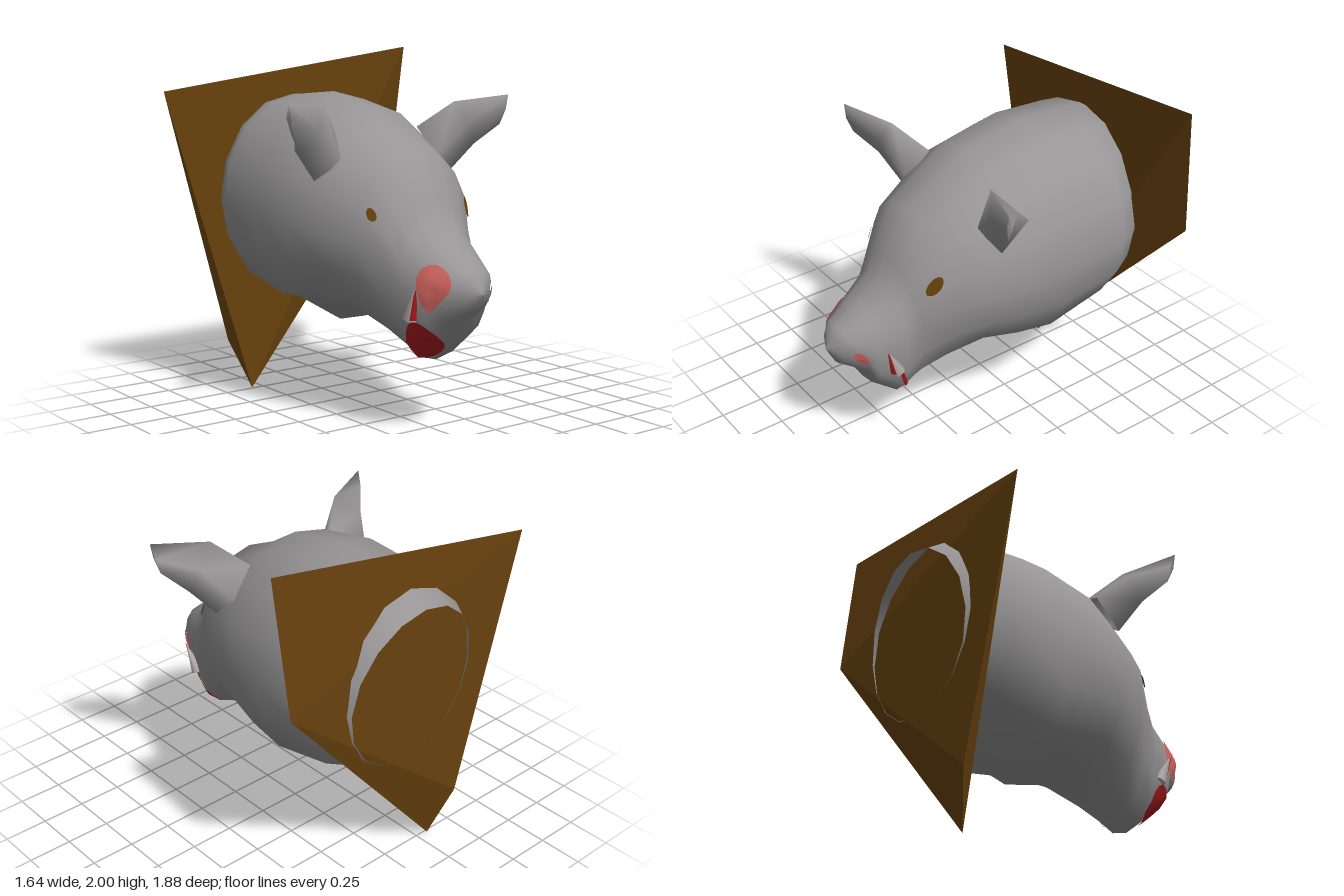
import * as THREE from 'three';
import { ConvexGeometry } from 'three/addons/geometries/ConvexGeometry.js';

const SIDES = 16;

// Head sections, neck to nose: top z,y | bottom z,y | half width, height of widest point | top and bottom roundness
const SECTIONS = [
  [-0.94, 1.61, -0.85, 0.68, 0.42, 1.13, 1, 1],
  [-0.76, 1.73, -0.77, 0.64, 0.49, 1.14, 1, 1],
  [-0.66, 1.735, -0.65, 0.56, 0.54, 1.13, 1, 1],
  [-0.34, 1.76, -0.28, 0.46, 0.545, 1.11, 1, 1],
  [0.02, 1.69, -0.06, 0.515, 0.53, 1.09, 1, 1],
  [0.20, 1.57, 0.15, 0.57, 0.47, 1.06, 0.95, 1],
  [0.41, 1.47, 0.35, 0.49, 0.39, 1.03, 1, 1.05],
  [0.55, 1.22, 0.48, 0.43, 0.285, 0.93, 1, 0.95],
  [0.59, 1.11, 0.58, 0.39, 0.255, 0.82, 0.9, 0.85],
  [0.74, 1.00, 0.73, 0.52, 0.21, 0.76, 0.9, 0.8],
  [0.88, 0.91, 0.76, 0.61, 0.175, 0.76, 0.95, 0.85],
  [0.91, 0.87, 0.89, 0.69, 0.09, 0.78, 1, 1],
  [0.94, 0.7905, 0.94, 0.7895, 0.0005, 0.79, 1, 1],
];

function sectionRing([zT, yT, zB, yB, w, yw, p, q]) {
  const ring = [];
  for (let j = 0; j < SIDES; j++) {
    const a = (j / SIDES) * Math.PI * 2;
    const s = Math.sin(a), c = Math.cos(a), e = c > 0 ? p : q;
    const x = Math.sign(s) * Math.abs(s) ** e * w;
    let y = yw + Math.sign(c) * Math.abs(c) ** e * (c > 0 ? yT - yw : yw - yB);
    // Flat jowls either side of the throat
    if (zB < 0.4 && Math.abs(x) > 0.18) y = Math.max(y, 0.64);
    const t = (y - yB) / (yT - yB);
    ring.push(new THREE.Vector3(x - 0.02, y, zB + (zT - zB) * t * t));
  }
  return ring;
}

// Skin closed rings of points with smooth normals
function loft(rings) {
  const n = rings[0].length, index = [];
  for (let i = 0; i < rings.length - 1; i++) {
    for (let j = 0; j < n; j++) {
      const k = (j + 1) % n;
      const a = i * n + j, b = a + n, c = i * n + k, d = c + n;
      index.push(a, b, c, b, d, c);
    }
  }
  const g = new THREE.BufferGeometry().setFromPoints(rings.flat());
  g.setIndex(index);
  g.computeVertexNormals();
  return g;
}

export function createModel() {
  const model = new THREE.Group();
  const mat = (name, color, side = THREE.FrontSide) => {
    const m = new THREE.MeshStandardMaterial({ color, side });
    m.name = name;
    return m;
  };
  const hide = mat('grey hide', 0x979595, THREE.DoubleSide);
  const wood = mat('brown wood', 0x67410d, THREE.DoubleSide);
  const red = mat('red gum', 0xb01c20, THREE.DoubleSide);
  const pink = mat('pink skin', 0xd0645e, THREE.DoubleSide);
  const ivory = mat('tusk grey', 0xb4acaa);

  const add = (name, geometry, material) => {
    const m = new THREE.Mesh(geometry, material);
    m.name = name;
    model.add(m);
    return m;
  };

  // Faceted, skewed wall plaque
  add('plaque', new ConvexGeometry([
    [0.82, 2.0, -0.765], [-0.82, 1.76, -0.85], [0.78, 1.26, -0.85],
    [-0.32, 0.0, -0.765], [-0.43, 0.29, -0.85],
  ].map((p) => new THREE.Vector3(...p))), wood);

  // Head and neck, open behind the plaque
  const rings = SECTIONS.map(sectionRing);
  add('head', loft(rings), hide);

  // Point on the head at ring r and side position a, lifted slightly
  const at = (r, a) => {
    const i = Math.min(Math.floor(r), rings.length - 2), j = Math.floor(a), f = r - i, h = a - j;
    const row = (k) => rings[k][j % SIDES].clone().lerp(rings[k][(j + 1) % SIDES], h);
    return row(i).lerp(row(i + 1), f);
  };
  const lifted = (r, a) => {
    const p = at(r, a);
    const along = at(r + 0.02, a).sub(p), around = at(r, a + 0.02).sub(p);
    return p.addScaledVector(along.cross(around).normalize(), 0.009);
  };
  // Painted oval that follows the skin, optionally slanted
  const patch = (name, r, a, dr, da, material, slant = 0) => {
    const ovals = [0.01, 0.25, 0.5, 0.75, 1].map((s) => Array.from({ length: 16 }, (_, k) => {
      const t = (k / 16) * Math.PI * 2;
      return lifted(r + s * (dr * Math.cos(t) + slant * Math.sin(t)), a + da * s * Math.sin(t));
    }));
    add(name, loft(ovals), material);
  };
  patch('leftEye', 6.42, 2.8, 0.27, 0.24, wood);
  patch('rightEye', 6.35, SIDES - 2.85, 0.15, 0.18, wood);
  patch('nosePatch', 9.5, 12.7, 0.85, 1.45, pink);
  patch('leftNosePatch', 10.2, 3.9, 0.3, 0.7, pink);
  patch('rightJawPatch', 8.5, 9.6, 0.55, 1.35, red);
  patch('leftGumStreak', 8.0, 5.7, 0.08, 1.15, red, -0.4);

  for (const side of [1, -1]) {
    const label = side > 0 ? 'left' : 'right';
    const v = (x, y, z) => new THREE.Vector3(x * side - 0.02, y, z);

    // Ear: flattened rings from inside the skull out to a blunt tip
    const earRing = (up, low, front, back) => {
      const u = v(...up), l = v(...low), m = u.clone().lerp(l, 0.5);
      const offset = (o) => m.clone().add(new THREE.Vector3(o[0] * side, o[1], o[2]));
      return [u, offset(front), l, offset(back)];
    };
    const ear = [
      earRing([0.28, 1.57, 0.06], [0.46, 1.32, 0.13], [-0.05, -0.03, 0.09], [0.10, 0.02, -0.13]),
      earRing([0.44, 1.71, 0.19], [0.59, 1.47, 0.19], [-0.01, 0, 0.05], [0.05, 0.02, -0.08]),
      earRing([0.735, 1.745, 0.31], [0.70, 1.58, 0.28], [0, 0, 0.015], [0.01, 0, -0.015]),
      earRing([0.72, 1.68, 0.30], [0.72, 1.67, 0.295], [0, 0, 0.002], [0, 0, -0.002]),
    ];
    add(label + 'Ear', loft(ear), hide);

    // Tusk with a red front edge
    const base = v(0.22, 0.645, 0.635), tip = v(0.25, 0.8, 0.7);
    const dir = tip.clone().sub(base);
    const cone = (name, radius, shift, material) => {
      const m = add(name, new THREE.ConeGeometry(radius, dir.length(), 6), material);
      m.position.copy(base).lerp(tip, 0.5).add(new THREE.Vector3(...shift));
      m.quaternion.setFromUnitVectors(new THREE.Vector3(0, 1, 0), dir.clone().normalize());
    };
    cone(label + 'Tusk', 0.04, [0, 0, 0], ivory);
    cone(label + 'TuskEdge', 0.033, [-0.002 * side, 0.008, 0.012], red);
  }
  return model;
}
